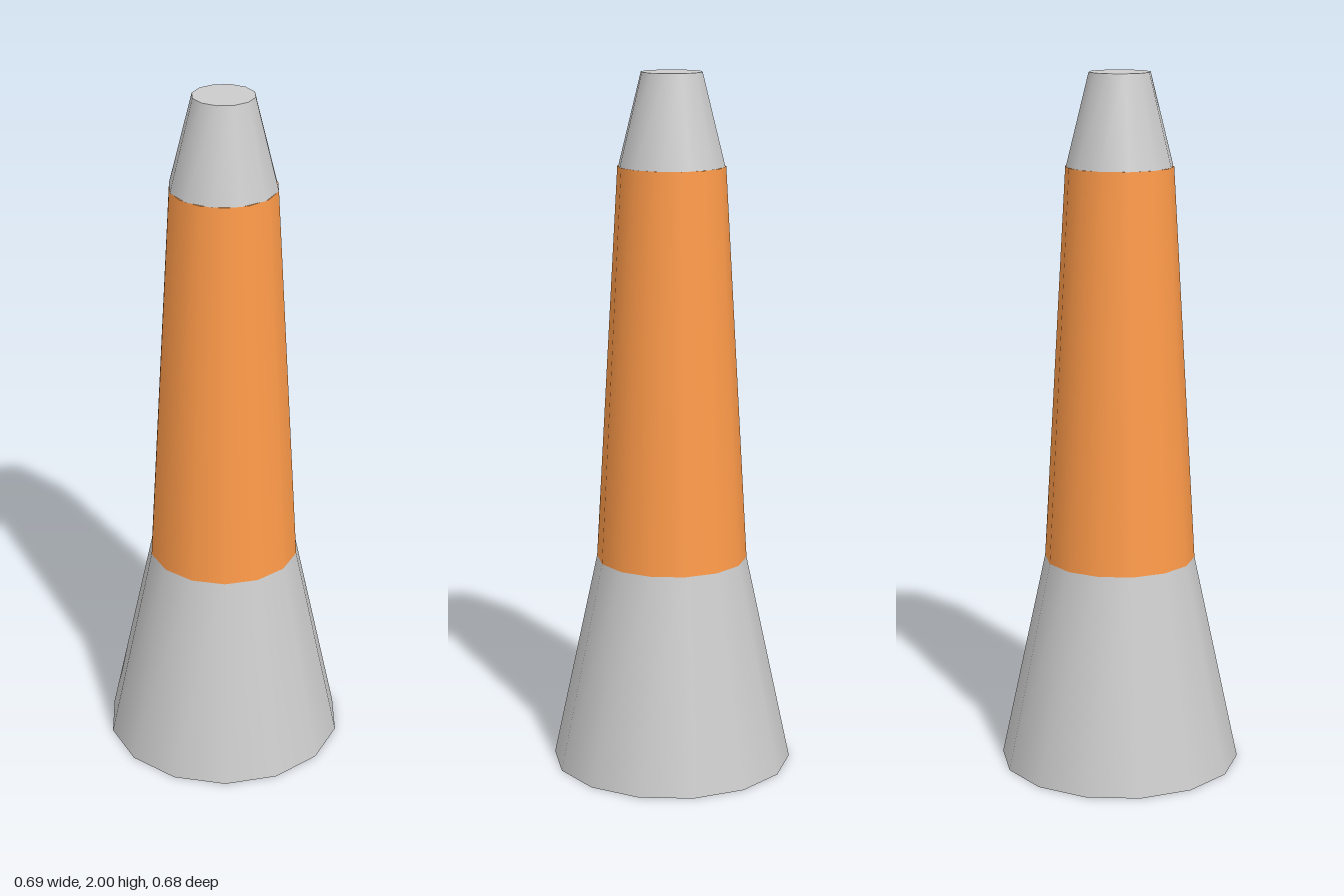
import * as THREE from 'three';

const grey = new THREE.MeshStandardMaterial({ color: 0xcccccc });
const orange = new THREE.MeshStandardMaterial({ color: 0xff9b4a });

// Smooth tapered section from y0 to y1, with a corner on the x axis
function taper(name, rBottom, rTop, y0, y1, sides, material) {
  const geometry = new THREE.CylinderGeometry(rTop, rBottom, y1 - y0, sides, 1, false, Math.PI / 2);
  const mesh = new THREE.Mesh(geometry, material);
  mesh.name = name;
  mesh.position.y = (y0 + y1) / 2;
  return mesh;
}

export function createModel() {
  const group = new THREE.Group();
  group.name = 'taperedPost';
  group.add(
    // Flared foot
    taper('base', 0.347, 0.217, 0, 0.61, 14, grey),
    // Coloured middle section
    taper('sleeve', 0.217, 0.152, 0.61, 1.74, 14, orange),
    // Narrow flat-topped end
    taper('tip', 0.152, 0.087, 1.74, 2, 12, grey)
  );
  return group;
}
